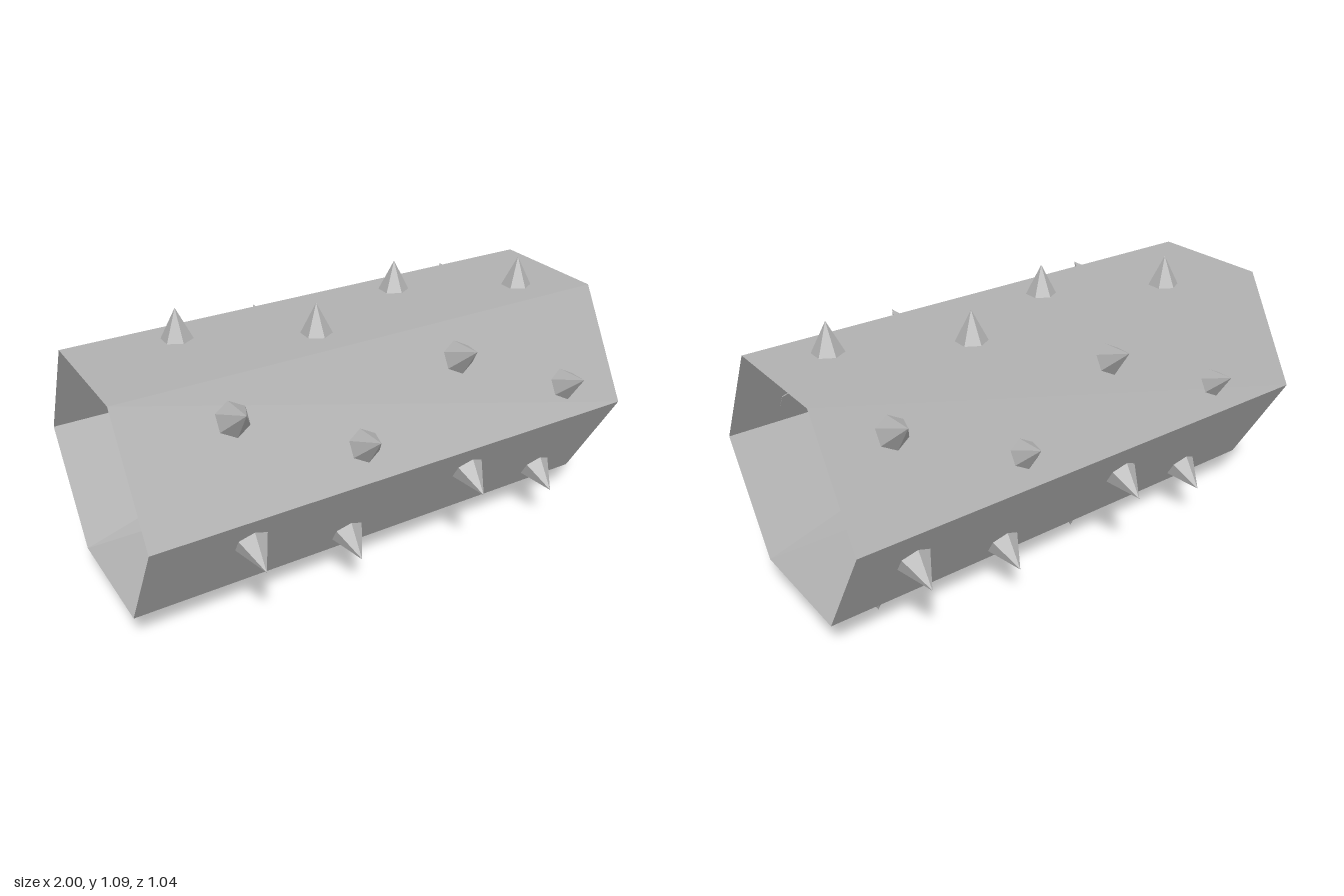
import * as THREE from 'three';

export function createModel() {
  const model = new THREE.Group();
  model.name = 'spikedTube';

  const grey = new THREE.MeshStandardMaterial({ color: 0xb0b0b0, flatShading: true, side: THREE.DoubleSide });
  grey.name = 'grey';

  // Open six-sided tube lying along x, flat faces up and down
  const tubeGeometry = new THREE.CylinderGeometry(0.485, 0.485, 2, 6, 1, true);
  tubeGeometry.rotateZ(Math.PI / 2);
  const tube = new THREE.Mesh(tubeGeometry, grey);
  tube.name = 'hexagonalTube';
  tube.position.y = 0.555;
  model.add(tube);

  // Six-sided spike with its base at the origin, pointing up
  const height = 0.126;
  const spikeGeometry = new THREE.ConeGeometry(0.064, height, 6);
  spikeGeometry.translate(0, height / 2, 0);

  // Base centres [z, y] of the two spike rows on each face, from the top
  // face round by the front; the first row is the one nearer the left end.
  const faces = [
    [[0.09, 0.964], [-0.123, 0.965]],
    [[0.415, 0.668], [0.313, 0.852]],
    [[0.302, 0.238], [0.408, 0.422]],
    [[-0.123, 0.139], [0.09, 0.131]],
    [[-0.407, 0.404], [-0.294, 0.223]],
    [[-0.312, 0.84], [-0.41, 0.651]],
  ];
  const stations = [[-0.163, 0.755], [-0.61, 0.31]];

  faces.forEach((rows, face) => {
    const spikes = new THREE.Group();
    spikes.name = `spikesFace${face + 1}`;
    rows.forEach(([z, y], row) => {
      for (const x of stations[row]) {
        const spike = new THREE.Mesh(spikeGeometry, grey);
        spike.name = 'spike';
        spike.position.set(x, y, z);
        spike.rotation.x = face * Math.PI / 3;
        spikes.add(spike);
      }
    });
    model.add(spikes);
  });

  return model;
}
